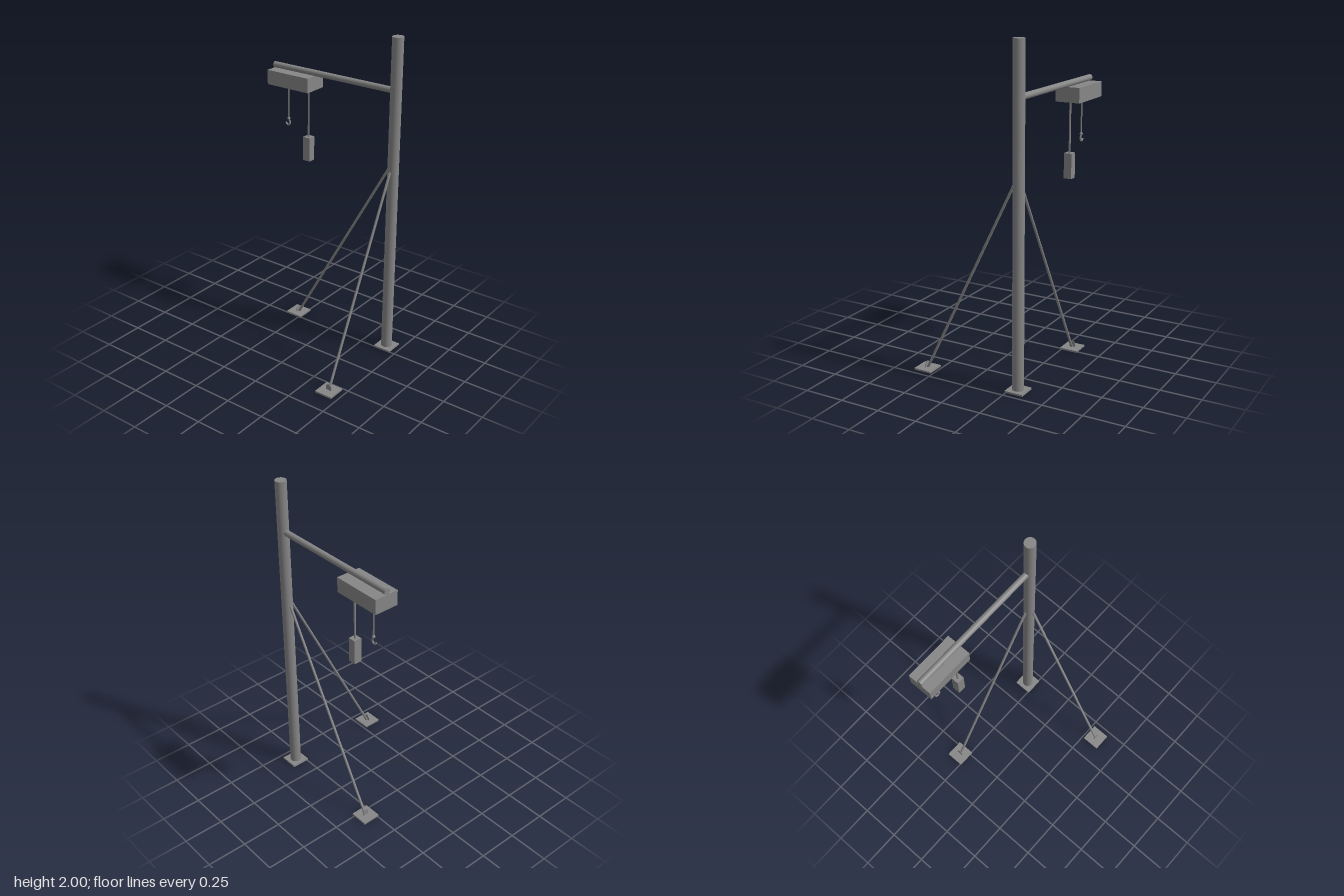
import * as THREE from 'three';

const V = (x, y, z) => new THREE.Vector3(x, y, z);
const PX = 0.41, PZ = -0.3; // mast axis

export function createModel() {
  const model = new THREE.Group();
  const steel = new THREE.MeshStandardMaterial({ color: 0x868686 });

  const add = (name, geo, x = 0, y = 0, z = 0) => {
    const mesh = new THREE.Mesh(geo, steel);
    mesh.name = name;
    mesh.position.set(x, y, z);
    model.add(mesh);
    return mesh;
  };
  const rod = (name, a, b, r, sides = 24) => {
    const dir = b.clone().sub(a);
    const mesh = add(name, new THREE.CylinderGeometry(r, r, dir.length(), sides));
    mesh.position.copy(a).add(b).multiplyScalar(0.5);
    mesh.quaternion.setFromUnitVectors(V(0, 1, 0), dir.normalize());
  };
  const footPlate = (name, x, z) =>
    add(name, new THREE.BoxGeometry(0.114, 0.011, 0.114), x, 0.0055, z);

  // Mast and its base plate
  rod('mast', V(PX, 0, PZ), V(PX, 2, PZ), 0.034, 40);
  footPlate('mastPlate', PX, PZ);

  // Boom with the hoist housing below it
  rod('boom', V(-0.467, 1.686, PZ), V(PX - 0.02, 1.686, PZ), 0.0185, 32);
  add('hoistHousing', new THREE.BoxGeometry(0.306, 0.09, 0.152), -0.314, 1.622, -0.303);

  // Round-topped lug, facing along z
  const lugShape = new THREE.Shape();
  lugShape.moveTo(-0.019, 0);
  lugShape.lineTo(0.019, 0);
  lugShape.lineTo(0.019, 0.02);
  lugShape.absarc(0, 0.02, 0.019, 0, Math.PI, false);
  lugShape.closePath();
  const lugGeo = new THREE.ExtrudeGeometry(lugShape, { depth: 0.004, bevelEnabled: false, curveSegments: 12 });
  lugGeo.translate(0, 0, -0.002);

  // Two diagonal braces, each with a foot plate and lug
  rod('frontBrace', V(PX, 0.01, 0.317), V(PX, 1.2, PZ + 0.033), 0.008, 20);
  footPlate('frontFootPlate', PX, 0.321);
  add('frontFootLug', lugGeo, PX, 0.01, 0.322);
  rod('sideBrace', V(-0.285, 0.01, PZ), V(PX - 0.033, 1.2, PZ), 0.008, 20);
  footPlate('sideFootPlate', -0.291, PZ);
  add('sideFootLug', lugGeo, -0.291, 0.01, PZ).rotation.y = Math.PI / 2;

  // Hook on its cable
  const HX = -0.362;
  rod('hookCable', V(HX, 1.355, PZ), V(HX, 1.59, PZ), 0.0045, 12);
  add('hookEye', new THREE.SphereGeometry(0.01, 16, 12), HX, 1.358, PZ);
  const hookCurve = new THREE.CatmullRomCurve3([
    V(0, 1.358, 0), V(0.003, 1.348, 0), V(0.008, 1.338, 0), V(0.008, 1.325, 0),
    V(-0.001, 1.316, 0), V(-0.012, 1.316, 0), V(-0.02, 1.325, 0),
  ]);
  add('hook', new THREE.TubeGeometry(hookCurve, 32, 0.0055, 10), HX, 0, PZ);
  add('hookTip', new THREE.SphereGeometry(0.0055, 10, 8), HX - 0.02, 1.325, PZ);

  // Control pendant on its cable
  rod('pendantCable', V(-0.208, 1.27, PZ), V(-0.208, 1.59, PZ), 0.006, 16);
  add('controlPendant', new THREE.BoxGeometry(0.049, 0.153, 0.049), -0.208, 1.195, PZ);

  return model;
}
